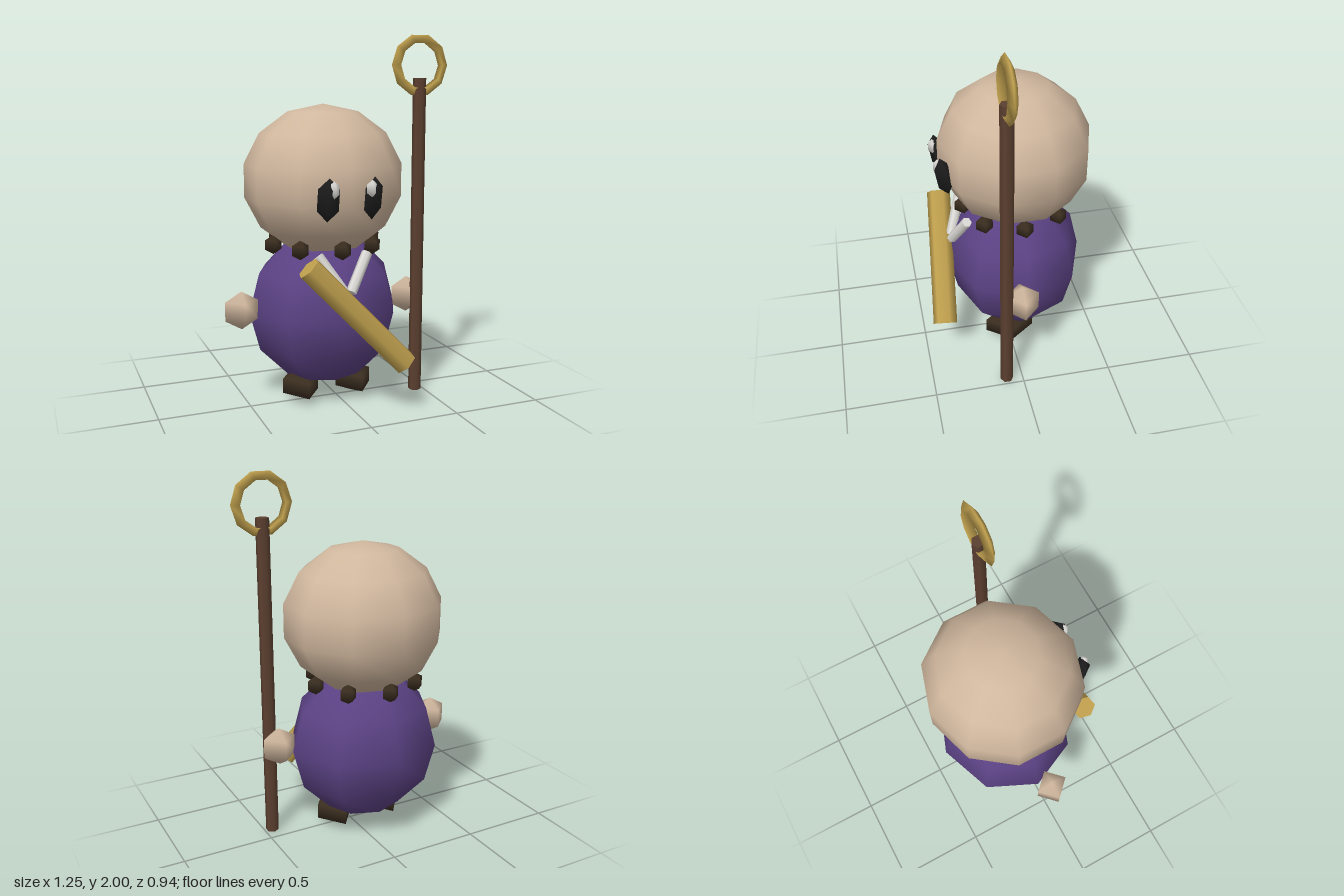
import * as THREE from 'three';

const mat = (name, color) => {
  const m = new THREE.MeshStandardMaterial({ color });
  m.name = name;
  return m;
};

export function createModel() {
  const skin = mat('skin', 0xd0b79e);
  const purple = mat('purple robe', 0x5b4284);
  const gold = mat('gold', 0xc0a04e);
  const wood = mat('staff wood', 0x5c4030);
  const dark = mat('dark brown', 0x3b2e20);
  const black = mat('eye black', 0x1d1d1d);
  const white = mat('white', 0xdedcd8);

  const model = new THREE.Group();
  model.name = 'staffBearer';
  const cx = -0.053; // centre line of the figure
  const cz = -0.055;

  const add = (name, geometry, material, x, y, z, parent = model) => {
    const mesh = new THREE.Mesh(geometry, material);
    mesh.name = name;
    mesh.position.set(x, y, z);
    parent.add(mesh);
    return mesh;
  };
  // Low-poly ellipsoid with smooth normals
  const ball = (rx, ry, rz, w = 4, h = 3, turn = 0) =>
    new THREE.SphereGeometry(1, w, h).rotateY(turn).scale(rx, ry, rz);
  // Six-sided rod between two points
  const rod = (name, material, from, to, r) => {
    const a = new THREE.Vector3(...from), b = new THREE.Vector3(...to);
    const axis = b.clone().sub(a);
    const mid = a.clone().add(b).multiplyScalar(0.5);
    const mesh = add(name, new THREE.CylinderGeometry(r, r, axis.length(), 6), material, mid.x, mid.y, mid.z);
    mesh.quaternion.setFromUnitVectors(new THREE.Vector3(0, 1, 0), axis.normalize());
    return mesh;
  };

  // Head and body
  add('head', ball(0.445, 0.415, 0.428, 10, 7, Math.PI / 2), skin, cx, 1.22, cz);
  add('body', ball(0.43, 0.43, 0.388, 8, 6), purple, cx, 0.51, cz);

  // Bead necklace
  const necklace = new THREE.Group();
  necklace.name = 'necklace';
  model.add(necklace);
  for (let i = 0; i < 8; i++) {
    const a = (i * Math.PI) / 4;
    add('bead', ball(0.053, 0.053, 0.053), dark,
      cx + Math.sin(a) * 0.29, 0.88, cz + Math.cos(a) * 0.29, necklace);
  }

  // Paired parts
  for (const [side, s] of [['left', 1], ['right', -1]]) {
    add(side + 'Hand', ball(0.104, 0.104, 0.104), skin, cx + s * 0.488, 0.545, 0);
    add(side + 'Foot', ball(0.12, 0.082, 0.163), dark, cx + s * 0.157, 0.09, 0);
    const eye = add(side + 'Eye', ball(0.064, 0.115, 0.05), black, cx + s * 0.123, 1.165, 0.345);
    eye.rotation.set(0.17, s * 0.25, 0);
    add(side + 'EyeShine', ball(0.034, 0.045, 0.026), white, cx + s * 0.104, 1.218, 0.375);
    rod(side + 'Collar', white, [cx + s * 0.138, 0.86, 0.235], [cx + s * 0.018, 0.67, 0.307], 0.029);
  }

  // Sash across the chest
  rod('sash', gold, [-0.2825, 0.828, 0.342], [0.2375, 0.2825, 0.4], 0.067);

  // Staff with a ring on top
  const staff = new THREE.Group();
  staff.name = 'staff';
  model.add(staff);
  add('staffPole', new THREE.CylinderGeometry(0.036, 0.036, 1.77, 6), wood, 0.455, 0.885, 0.09, staff);
  add('staffRing', new THREE.TorusGeometry(0.139, 0.029, 3, 10), gold, 0.455, 1.84, 0.09, staff);

  return model;
}
